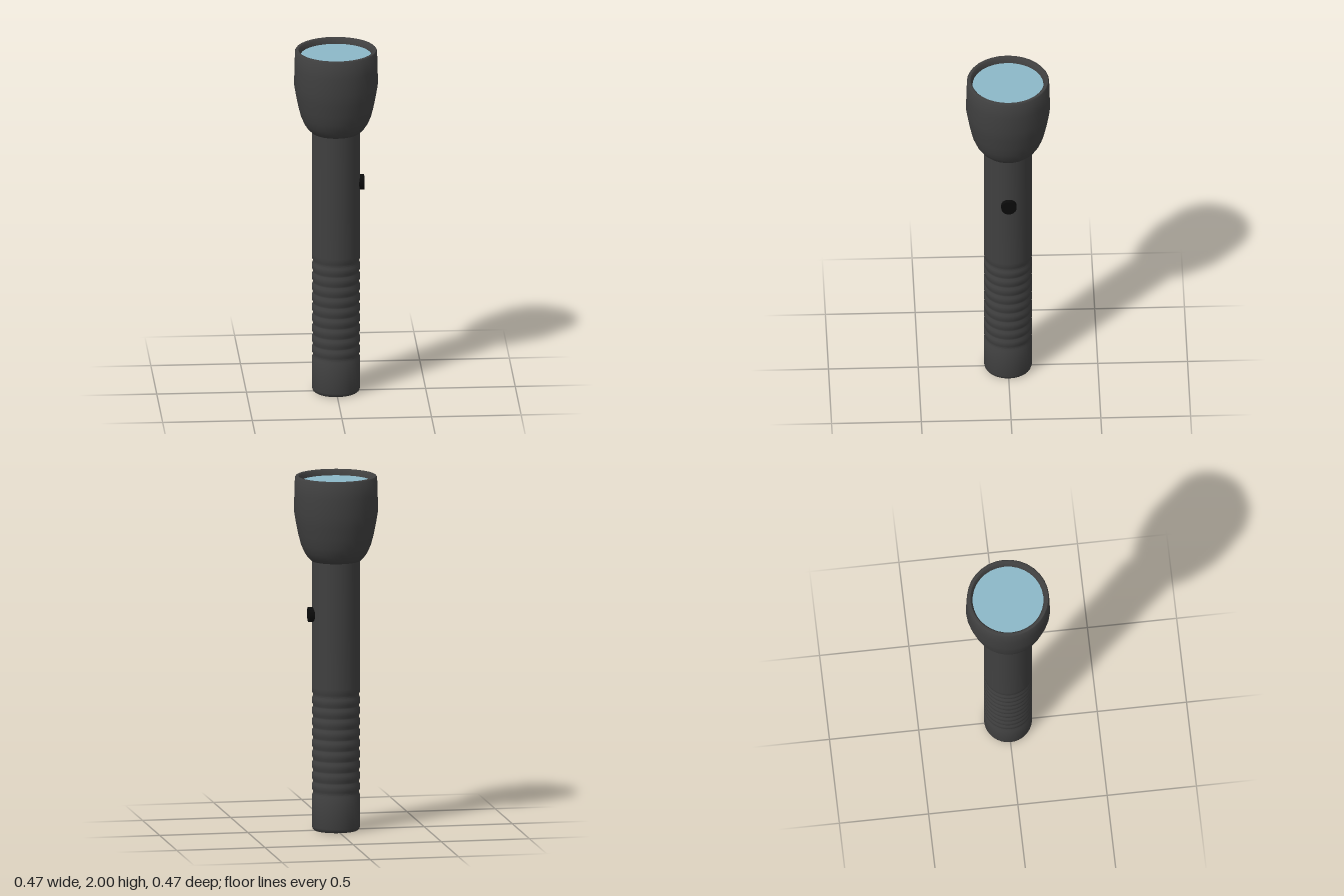
import * as THREE from 'three';
import { toCreasedNormals } from 'three/addons/utils/BufferGeometryUtils.js';

const SIDES = 32;

export function createModel() {
  const casing = new THREE.MeshStandardMaterial({ color: 0x404040 });
  casing.name = 'dark grey casing';
  const rubber = new THREE.MeshStandardMaterial({ color: 0x0b0b0b });
  rubber.name = 'black rubber';
  const glass = new THREE.MeshStandardMaterial({ color: 0x8cb8c8 });
  glass.name = 'pale blue glass';

  const model = new THREE.Group();
  model.name = 'flashlight';

  const add = (name, geometry, material) => {
    const mesh = new THREE.Mesh(geometry, material);
    mesh.name = name;
    model.add(mesh);
    return mesh;
  };
  const turned = (points) => toCreasedNormals(
    new THREE.LatheGeometry(points.map(([r, y]) => new THREE.Vector2(r, y)), SIDES), 0.7);

  // Handle: rounded foot, ten shallow grip grooves, plain upper tube
  const handle = [[0, 0], [0.121, 0], [0.13, 0.007], [0.134, 0.022]];
  for (let i = 0; i < 10; i++) {
    const y = 0.2 + i * 0.061;
    handle.push([0.134, y], [0.128, y + 0.012], [0.128, y + 0.02], [0.134, y + 0.032]);
  }
  handle.push([0.134, 0.81], [0.134, 1.54]);
  add('handle', turned(handle), casing);

  // Flared head with a rim that slopes in to the lens
  add('head', turned([
    [0.12, 1.52], [0.137, 1.522], [0.158, 1.542], [0.178, 1.572], [0.196, 1.615],
    [0.21, 1.67], [0.223, 1.735], [0.234, 1.8], [0.232, 1.9], [0.229, 1.993],
    [0.224, 2], [0.21, 2], [0.203, 1.993], [0.197, 1.965],
  ]), casing);

  // Recessed lens
  const lens = add('lens', new THREE.CircleGeometry(0.198, SIDES), glass);
  lens.rotation.x = -Math.PI / 2;
  lens.position.y = 1.968;

  // Switch button on the left side
  const button = add('switchButton', new THREE.CylinderGeometry(0.043, 0.043, 0.04, 20), rubber);
  button.rotation.z = -Math.PI / 2;
  button.position.set(0.137, 1.22, 0);

  return model;
}
